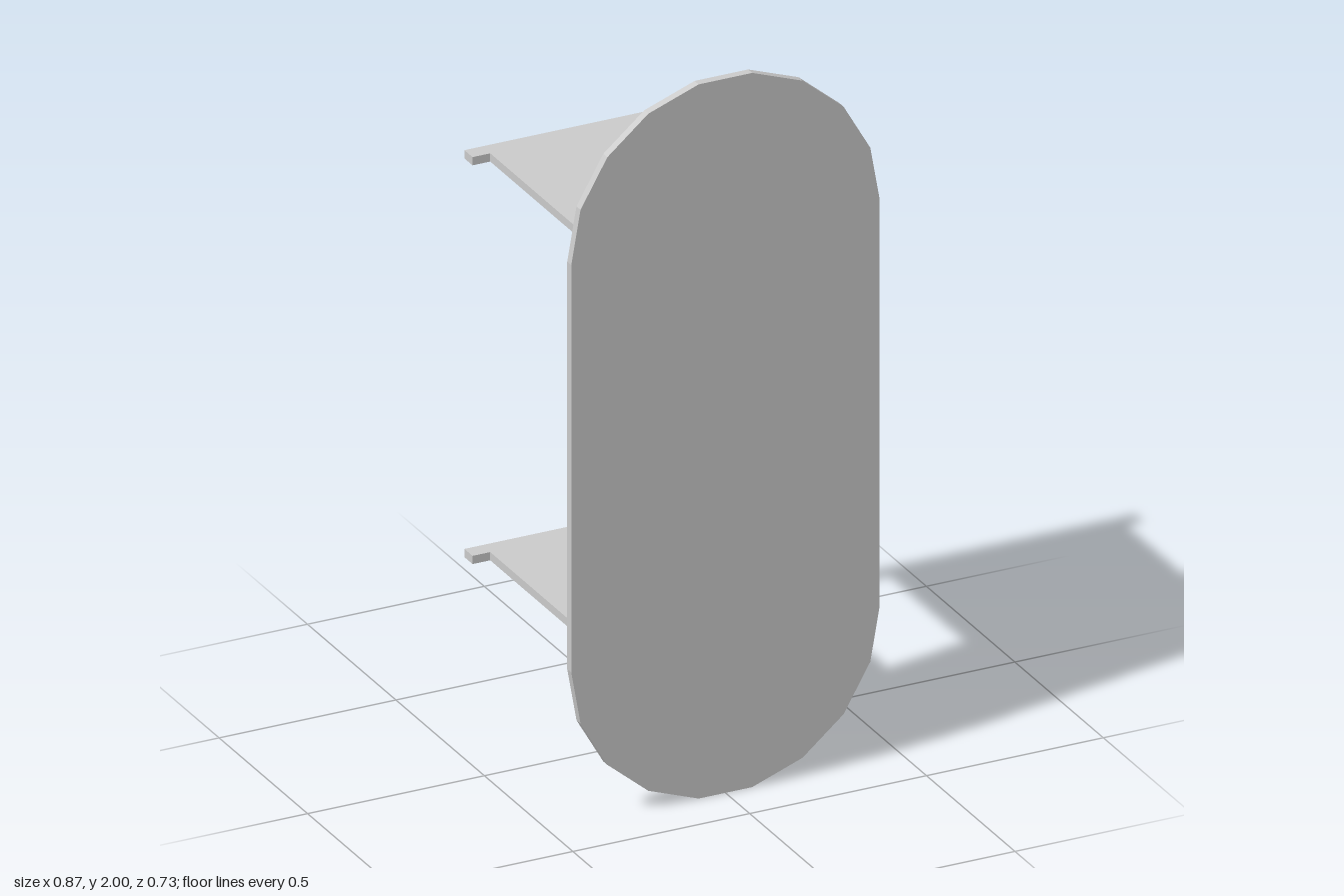
import * as THREE from 'three';

const THICK = 0.023;
const FRONT = 0.363;          // front face of the plate
const INNER = FRONT - THICK;  // rear face of the plate

export function createModel() {
  const group = new THREE.Group();
  const material = new THREE.MeshStandardMaterial({ color: 0xcccccc, flatShading: true });
  const add = (name, geometry) => {
    const mesh = new THREE.Mesh(geometry, material);
    mesh.name = name;
    group.add(mesh);
    return mesh;
  };
  const extrude = (points) => new THREE.ExtrudeGeometry(new THREE.Shape(points),
    { depth: THICK, bevelEnabled: false });

  // Upright plate with faceted round ends, nine facets each
  const radius = 0.436, low = 0.43, high = 1.57;
  const outline = [];
  for (let end = 0; end < 2; end++) {
    for (let i = 0; i <= 9; i++) {
      const a = Math.PI * (end + i / 9);
      outline.push(new THREE.Vector2(radius * Math.cos(a), (end ? low : high) + radius * Math.sin(a)));
    }
  }
  add('facePlate', extrude(outline)).position.z = INNER;

  // Two shelves with a wider lip along the rear edge
  const half = [[0.325, -INNER], [0.325, 0.317], [0.375, 0.317], [0.375, 0.363]];
  const shelfPoints = [...half, ...half.map(([x, d]) => [-x, d]).reverse()]
    .map(([x, d]) => new THREE.Vector2(x, d));
  for (const [name, y] of [['lowerShelf', 0.432], ['upperShelf', 1.548]]) {
    const geometry = extrude(shelfPoints);
    geometry.rotateX(-Math.PI / 2);
    add(name, geometry).position.y = y;
  }

  // Upright stiffening web between the shelves
  const bottom = 0.455, top = 1.548, rear = 0.04;
  add('web', new THREE.BoxGeometry(THICK, top - bottom, INNER - rear))
    .position.set(THICK / 2, (top + bottom) / 2, (INNER + rear) / 2);

  return group;
}
